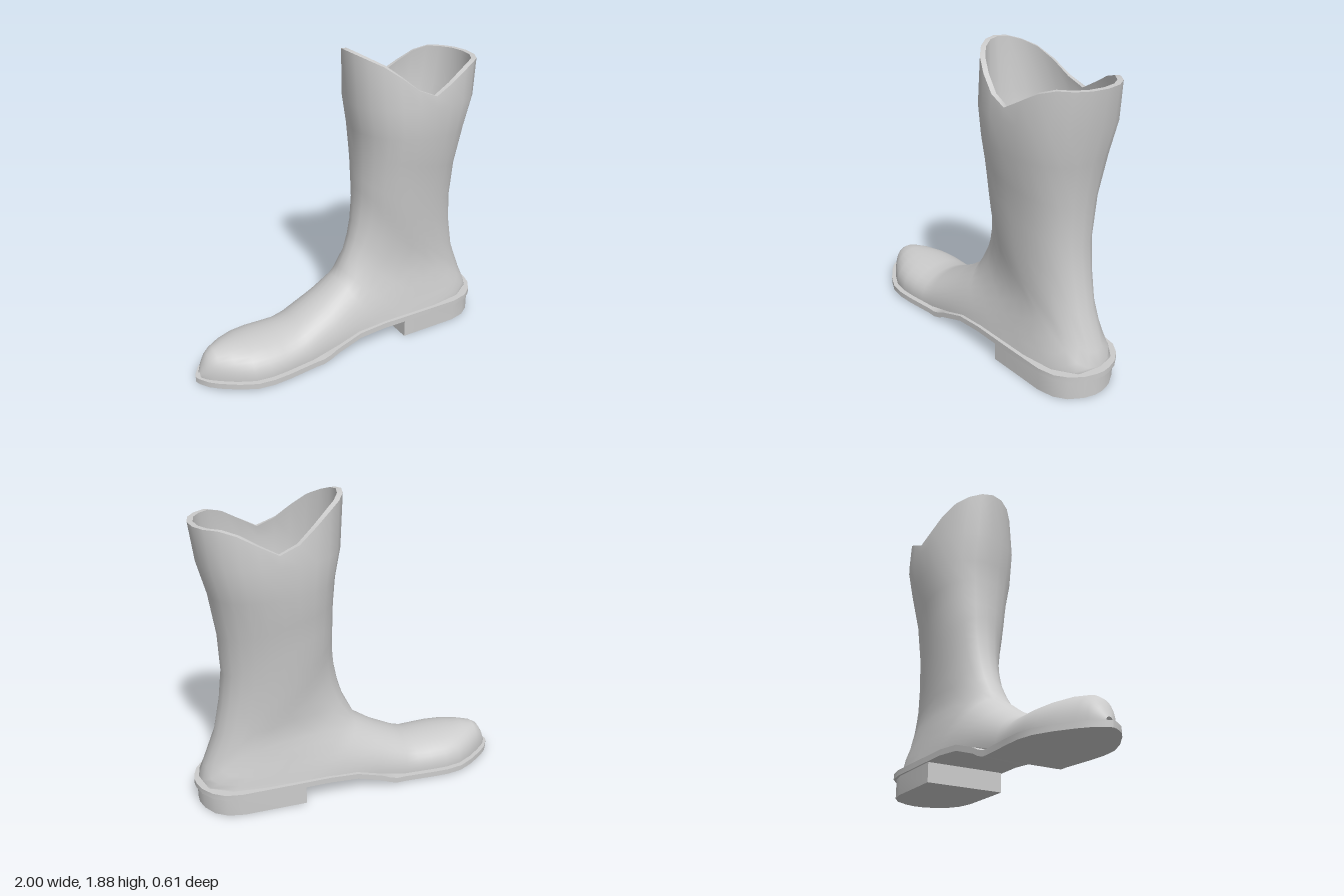
import * as THREE from 'three';
import { mergeVertices, toCreasedNormals } from 'three/addons/utils/BufferGeometryUtils.js';

const material = new THREE.MeshStandardMaterial({ color: 0xcccccc, side: THREE.DoubleSide });
const { lerp, clamp, smoothstep } = THREE.MathUtils;

// Piecewise linear lookup through [input, output] pairs
function curve(points) {
  return (t) => {
    let i = 1;
    while (i < points.length - 1 && points[i][0] < t) i++;
    const [a, b] = [points[i - 1], points[i]];
    return lerp(a[1], b[1], clamp((t - a[0]) / (b[0] - a[0]), 0, 1));
  };
}

// Skin over a list of rings that all have the same number of points
function loft(rings) {
  const n = rings[0].length, index = [];
  for (let i = 0; i < rings.length - 1; i++) {
    for (let j = 0; j < n - 1; j++) {
      const a = i * n + j, b = a + n;
      index.push(a, b, b + 1, a, b + 1, a + 1);
    }
  }
  const geometry = new THREE.BufferGeometry();
  geometry.setAttribute('position', new THREE.Float32BufferAttribute(rings.flat(2), 3));
  geometry.setIndex(index);
  const welded = mergeVertices(geometry, 1e-4);
  welded.computeVertexNormals();
  return welded;
}

// Sole outline half width, sideways drift of the foot, and underside height along x
const soleHalf = curve([[-1, 0], [-0.99, 0.03], [-0.95, 0.09], [-0.9, 0.135], [-0.8, 0.205], [-0.7, 0.255],
  [-0.6, 0.27], [-0.5, 0.267], [-0.3, 0.25], [0, 0.252], [0.3, 0.26], [0.75, 0.262], [0.85, 0.24],
  [0.92, 0.19], [0.97, 0.12], [0.993, 0.05], [1, 0]]);
const drift = curve([[-1, 0.03], [-0.5, 0.022], [-0.2, 0.012], [0.1, 0], [0.7, 0], [1, -0.008]]);
const underside = curve([[-0.25, 0.01], [-0.2, 0.025], [-0.15, 0.05], [0.02, 0.105], [0.2, 0.12]]);

// Upper: back edge and half width by height, and the scalloped rim by x
const back = curve([[0.15, 0.975], [0.17, 0.97], [0.22, 0.96], [0.3, 0.91], [0.45, 0.86], [0.6, 0.825], [0.82, 0.79],
  [1, 0.793], [1.2, 0.805], [1.4, 0.845], [1.6, 0.9], [1.77, 0.912]]);
const shaftHalf = curve([[0.14, 0.24], [0.3, 0.21], [0.47, 0.185], [0.7, 0.205], [0.9, 0.225], [1.2, 0.262],
  [1.4, 0.305], [1.57, 0.307], [1.7, 0.29], [1.88, 0.265]]);
const rimHeight = curve([[0.045, 1.885], [0.19, 1.81], [0.37, 1.67], [0.5, 1.62], [0.63, 1.715], [0.76, 1.77], [0.91, 1.77]]);

// Sections fanning from the toe up the shaft: front x, front y, lower end x (foot) or y (heel back)
const footSections = [[-0.975, 0.07, -0.975], [-0.95, 0.13, -0.95], [-0.92, 0.18, -0.92], [-0.88, 0.205, -0.88],
  [-0.8, 0.22, -0.8], [-0.7, 0.222, -0.7], [-0.6, 0.222, -0.6], [-0.5, 0.22, -0.5], [-0.41, 0.222, -0.41],
  [-0.34, 0.25, -0.32], [-0.17, 0.34, -0.1], [-0.03, 0.44, 0.15], [0, 0.5, 0.35], [0.05, 0.6, 0.6],
  [0.08, 0.7, 0.8], [0.1, 0.8, 0.93]];
const shaftSections = [[0.108, 0.88, 0.17], [0.115, 0.95, 0.25], [0.115, 1.02, 0.45], [0.115, 1.1, 0.65],
  [0.115, 1.18, 0.85], [0.11, 1.27, 1.1], [0.1, 1.4, 1.35], [0.065, 1.57, 1.55], [0.045, 1.88, 1.77]];
const sections = [
  ...footSections.map(([x, y, lx]) => [x, y, lx, underside(lx) + 0.033]),
  ...shaftSections.map(([x, y, ly]) => [x, y, back(ly), ly]),
];

function upperRing([fx, fy, bx, by], i) {
  const N = 12, ring = [], isRim = i === sections.length - 1;
  const shaftness = smoothstep(i, 9, 17);
  for (let j = -N; j <= N; j++) {
    const s = (1 + Math.cos((Math.PI * j) / N)) / 2;
    const x = lerp(bx, fx, s), lineY = lerp(by, fy, s);
    const y = isRim ? rimHeight(x) : lineY;
    const foot = Math.max(0.012, soleHalf(x) - 0.032);
    const width = lerp(foot, shaftHalf(y), smoothstep(x, -0.3, 0.2));
    // Rounding toward the front edge and toward the back edge
    const t = clamp((s - 0.5 * shaftness) / (1 - 0.5 * shaftness), 0, 1);
    const u = clamp((x - back(lineY) + 0.38) / 0.38, 0, 1);
    const front = Math.sqrt(Math.max(0, 1 - t ** 2.5));
    const rear = Math.max(0, 1 - u ** 2.5) ** 0.45;
    ring.push([x, y, drift(x) - Math.sign(j) * width * front * rear]);
  }
  return ring;
}

export function createModel() {
  const boot = new THREE.Group();
  boot.name = 'boot';
  const add = (name, geometry) => {
    const mesh = new THREE.Mesh(geometry, material);
    mesh.name = name;
    boot.add(mesh);
  };

  // Foot and shaft
  const rings = sections.map(upperRing).map((ring) => ring.map(([x, y, z]) => [x, y, z]));
  // Ring order runs from +z over the top to -z
  rings.forEach((ring) => ring.forEach((p) => { p[2] = 2 * drift(p[0]) - p[2]; }));
  rings.forEach((ring) => ring.reverse());
  add('upper', loft(rings));

  // Rim, lining and inner floor
  const inset = (ring, k, kz = k, y = null) =>
    ring.map(([px, py, pz]) => [0.48 + (px - 0.48) * k, y ?? py, pz * kz]);
  const last = rings.length - 1;
  const innerRim = inset(rings[last], 0.925, 0.91);
  const floorRing = inset(rings[last - 4], 0.69, 0.62, 0.5);
  add('rim', loft([rings[last], innerRim]));
  add('lining', loft([innerRim, inset(rings[last - 1], 0.92), inset(rings[last - 2], 0.91),
    inset(rings[last - 3], 0.88), floorRing]));
  add('innerFloor', loft([floorRing, inset(floorRing, 0, 0)]));

  // Welt and sole in one curved slab
  const soleXs = [-1, -0.99, -0.95, -0.9, -0.8, -0.7, -0.6, -0.5, -0.3, -0.25, -0.2, -0.15, 0.02, 0.2, 0.5,
    0.75, 0.85, 0.92, 0.97, 0.993, 1];
  const soleRings = soleXs.map((x) => {
    const w = soleHalf(x), c = drift(x), y = underside(x);
    return [[x, y, c + w], [x, y + 0.035, c + w], [x, y + 0.035, c - w], [x, y, c - w], [x, y, c + w]];
  });
  add('sole', toCreasedNormals(loft(soleRings), 0.6));

  // Heel block
  const side = [[0.355, 0.25], [0.74, 0.25], [0.84, 0.228], [0.91, 0.18], [0.96, 0.1], [0.98, 0.03]];
  const outline = [...side, ...side.map(([x, z]) => [x, -z]).reverse()];
  const heel = new THREE.ExtrudeGeometry(new THREE.Shape(outline.map(([x, z]) => new THREE.Vector2(x, z))),
    { depth: 0.122, bevelEnabled: false });
  heel.rotateX(Math.PI / 2).translate(0, 0.122, 0);
  add('heel', toCreasedNormals(heel, 0.6));

  return boot;
}
